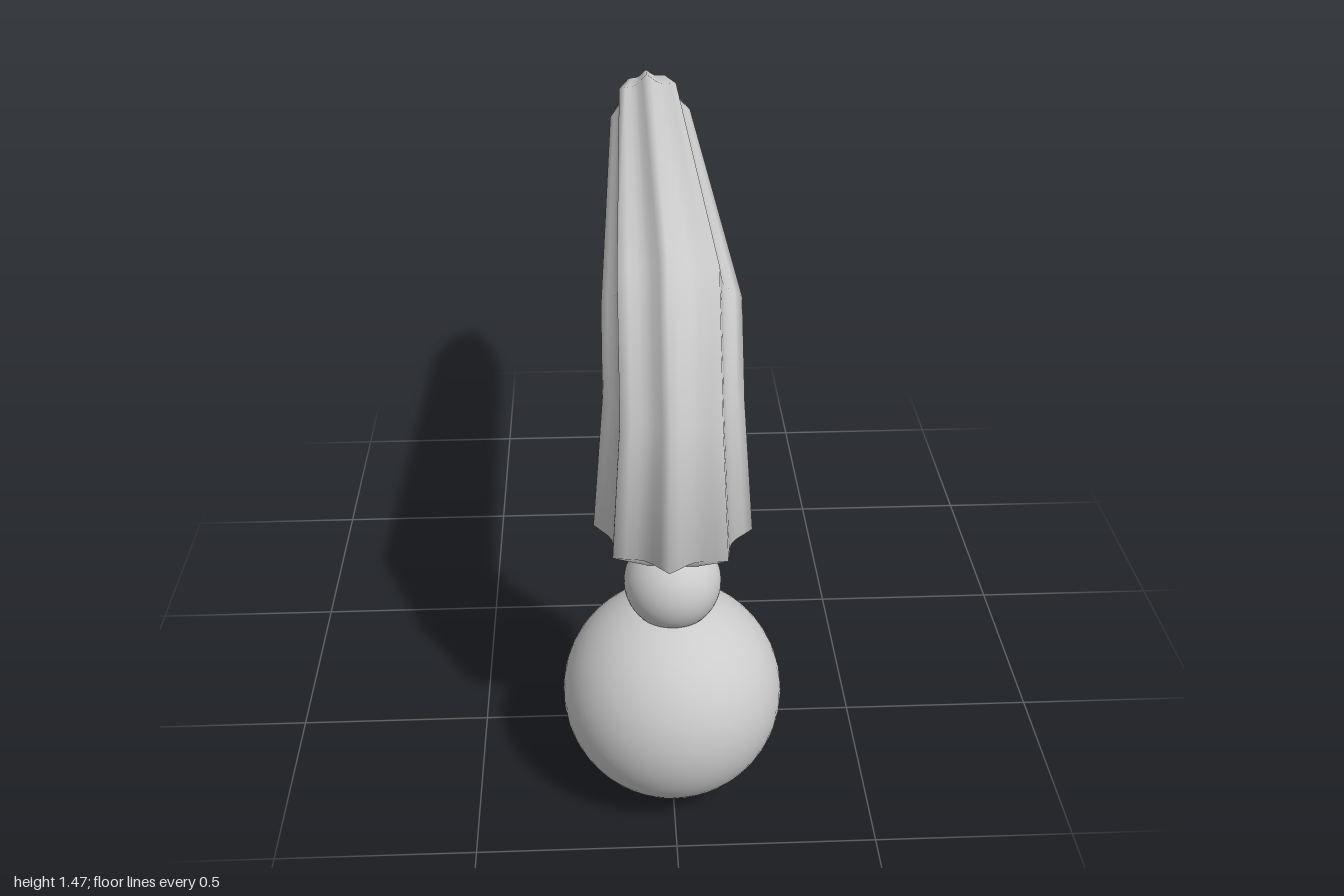
import * as THREE from 'three';

const material = new THREE.MeshStandardMaterial({ color: 0xcccccc, roughness: 0.7 });
const RIDGES = 8, STEPS = 6, SIDES = RIDGES * STEPS;

function addBall(group, name, radius, y) {
  const mesh = new THREE.Mesh(new THREE.SphereGeometry(radius, 48, 32), material);
  mesh.name = name;
  mesh.position.set(0, y, 0.722);
  group.add(mesh);
}

// Sweeps a fluted ring through sections of [y, z, radius, tilt in degrees].
function flutedSweep(sections) {
  const positions = [], index = [];
  const twist = THREE.MathUtils.degToRad(-5);
  for (const [y, z, radius, tilt] of sections) {
    const a = THREE.MathUtils.degToRad(tilt);
    for (let j = 0; j < SIDES; j++) {
      const angle = twist + (j / SIDES) * Math.PI * 2;
      // Narrow ridges with a rounded hollow between them
      const hollow = Math.sin(((j % STEPS) / STEPS) * Math.PI);
      const r = radius * (1 - 0.19 * hollow);
      const out = r * Math.cos(angle);
      positions.push(r * Math.sin(angle), y + out * Math.sin(a), z + out * Math.cos(a));
    }
  }
  for (let i = 0; i < sections.length - 1; i++) {
    for (let j = 0; j < SIDES; j++) {
      const k = (j + 1) % SIDES;
      const p = i * SIDES + j, q = i * SIDES + k;
      index.push(p, q, q + SIDES, p, q + SIDES, p + SIDES);
    }
  }
  const geometry = new THREE.BufferGeometry();
  geometry.setAttribute('position', new THREE.Float32BufferAttribute(positions, 3));
  geometry.setIndex(index);
  geometry.computeVertexNormals();
  return geometry;
}

export function createModel() {
  const group = new THREE.Group();
  group.name = 'flutedHandle';

  // Round base and the small neck bead above it
  addBall(group, 'baseBall', 0.278, 0.28);
  addBall(group, 'neckBall', 0.12, 0.618);

  // Fluted column that bends into a long pointed arm
  const arm = new THREE.Mesh(flutedSweep([
    [0.68, 0.722, 0.05, 0],
    [0.775, 0.722, 0.192, 0],
    [1.13, 0.724, 0.164, 0],
    [1.328, 0.62, 0.163, 66],
    [1.32, -0.71, 0.122, 90],
    [1.32, -0.89, 0.08, 90],
    [1.32, -1, 0.0005, 90],
  ]), material);
  arm.name = 'flutedArm';
  group.add(arm);

  return group;
}
